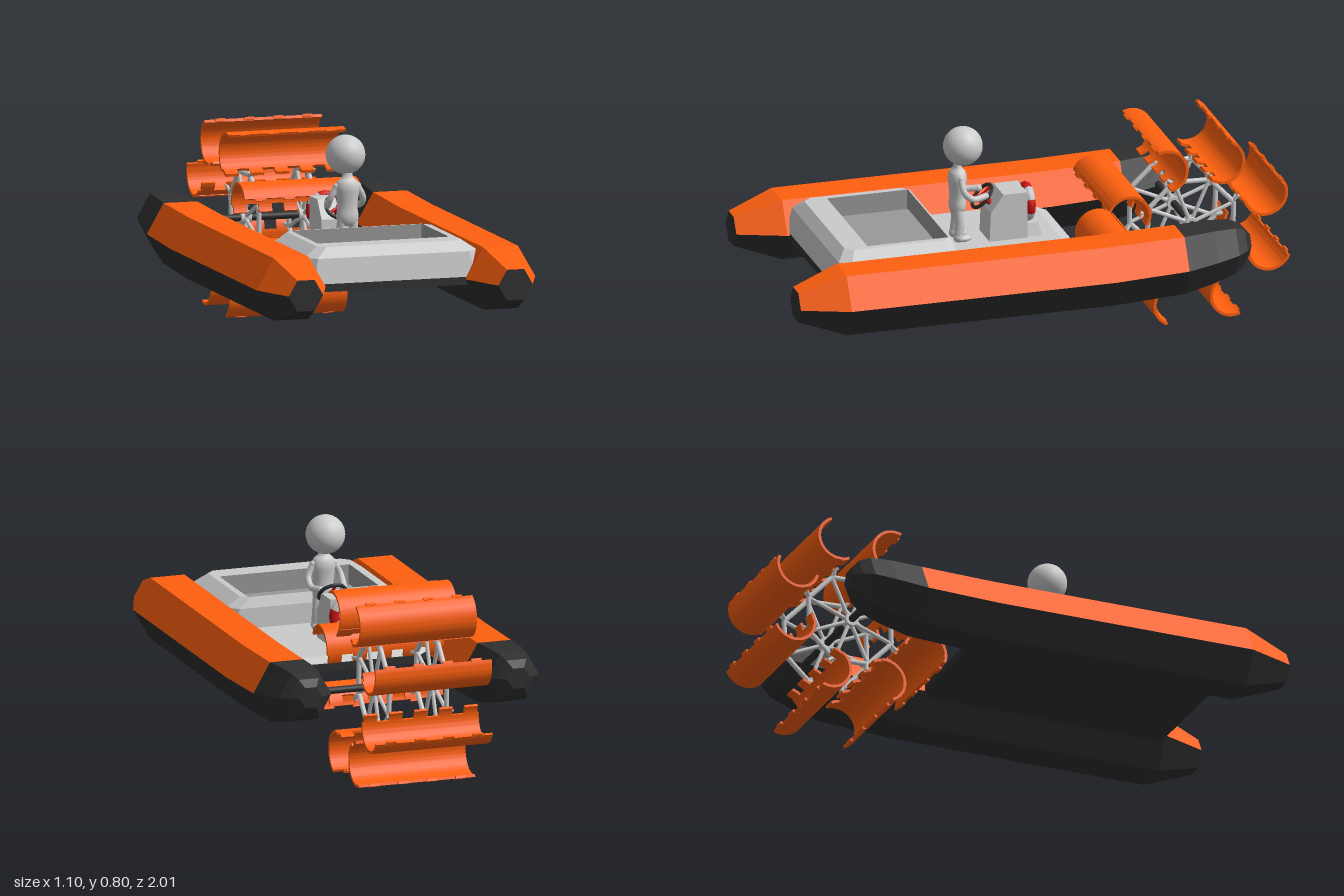
import * as THREE from 'three';
import { toCreasedNormals } from 'three/addons/utils/BufferGeometryUtils.js';

const mat = (color, flat = false) => new THREE.MeshStandardMaterial({ color, flatShading: flat, side: THREE.DoubleSide });
const grey = mat(0xcccccc), greyFlat = mat(0xcccccc, true), trayGrey = mat(0x999999, true);
const orange = mat(0xff600f), orangeFlat = mat(0xff600f, true);
const dark = mat(0x303030), darkFlat = mat(0x303030, true), red = mat(0xd01515);
const V = (x, y, z) => new THREE.Vector3(x, y, z);

function add(parent, name, geometry, material, x = 0, y = 0, z = 0) {
  const mesh = new THREE.Mesh(geometry, material);
  mesh.name = name;
  mesh.position.set(x, y, z);
  parent.add(mesh);
  return mesh;
}

// Skin over rings of points; only the given sides, with optional caps
function loft(rings, { start = false, end = false, from = 0, to = rings[0].length } = {}) {
  const p = [], n = rings[0].length;
  const tri = (...v) => v.forEach(q => p.push(q.x, q.y, q.z));
  for (let r = 0; r < rings.length - 1; r++) {
    const a = rings[r], b = rings[r + 1];
    for (let i = from; i < to; i++) {
      const j = (i + 1) % n;
      tri(a[i], a[j], b[j]);
      tri(a[i], b[j], b[i]);
    }
  }
  for (let i = 1; i < n - 1; i++) {
    const a = rings[0], b = rings[rings.length - 1];
    if (start) tri(a[0], a[i + 1], a[i]);
    if (end) tri(b[0], b[i], b[i + 1]);
  }
  const g = new THREE.BufferGeometry();
  g.setAttribute('position', new THREE.Float32BufferAttribute(p, 3));
  g.computeVertexNormals();
  return g;
}

// Horizontal rectangle with cut corners
const plan = (y, x, z0, z1, c) => [[x, z1 - c], [x, z0 + c], [x - c, z0], [c - x, z0],
  [-x, z0 + c], [-x, z1 - c], [c - x, z1], [x - c, z1]].map(q => V(q[0], y, q[1]));

// Side profile (z, y) extruded across x, centred
function extrudeX(shape, width, curveSegments = 18) {
  const g = new THREE.ExtrudeGeometry(shape, { depth: width, bevelEnabled: false, curveSegments });
  g.translate(0, 0, -width / 2).rotateY(-Math.PI / 2);
  return toCreasedNormals(g, 0.6);
}

function rod(parent, name, a, b, radius, material) {
  const m = add(parent, name, new THREE.CylinderGeometry(radius, radius, a.distanceTo(b), 8), material);
  m.position.copy(a).add(b).multiplyScalar(0.5);
  m.quaternion.setFromUnitVectors(V(0, 1, 0), b.clone().sub(a).normalize());
}

function pontoon(side) {
  const g = new THREE.Group();
  g.name = side > 0 ? 'leftPontoon' : 'rightPontoon';
  // z, centre height, radius from stern to bow
  const rings = [[-0.78, 0.378, 0.045], [-0.755, 0.375, 0.08], [-0.715, 0.368, 0.105], [-0.63, 0.355, 0.121],
    [-0.51, 0.338, 0.133], [-0.22, 0.327, 0.137], [0.82, 0.327, 0.137], [1, 0.327, 0.068]]
    .map(([z, y, r]) => Array.from({ length: 6 }, (_, i) =>
      V(r * Math.cos(i * Math.PI / 3), y + r * Math.sin(i * Math.PI / 3), z)));
  add(g, 'sternCap', loft(rings.slice(0, 5), { start: true }), darkFlat);
  add(g, 'upperTube', loft(rings.slice(4), { to: 3 }), orangeFlat);
  add(g, 'lowerTube', loft(rings.slice(4), { from: 3, end: true }), darkFlat);
  g.position.x = side * 0.415;
  return g;
}

function hull() {
  const g = new THREE.Group();
  g.name = 'hull';
  add(g, 'bowBottom', loft([plan(0.305, 0.34, 0.33, 0.81, 0.02), plan(0.335, 0.34, 0.33, 0.81, 0.02)], { start: true }), darkFlat);
  add(g, 'sternBottom', loft([plan(0.305, 0.285, -0.185, 0.34, 0.05), plan(0.335, 0.285, -0.185, 0.34, 0.05)], { start: true }), darkFlat);
  add(g, 'cockpitFloor', loft([plan(0.335, 0.285, -0.185, 0.34, 0.05), plan(0.352, 0.27, -0.14, 0.34, 0.03)], { end: true }), greyFlat);
  const rim = plan(0.468, 0.26, 0.352, 0.67, 0.004);
  add(g, 'bowDeck', loft([plan(0.335, 0.34, 0.33, 0.81, 0.02), plan(0.43, 0.34, 0.332, 0.795, 0.04),
    plan(0.468, 0.285, 0.345, 0.76, 0.03), rim]), greyFlat);
  add(g, 'bowTray', loft([rim, plan(0.39, 0.26, 0.352, 0.67, 0.004)], { end: true }), trayGrey);
  return g;
}

function console_() {
  const g = new THREE.Group();
  g.name = 'console';
  const side = new THREE.Shape([[-0.02, 0.345], [0.13, 0.345], [0.125, 0.465], [0.075, 0.535], [-0.02, 0.535]]
    .map(q => new THREE.Vector2(...q)));
  add(g, 'consoleBox', extrudeX(side, 0.13), greyFlat);
  add(g, 'consoleStep', loft([plan(0.35, 0.055, -0.1, 0, 0.02), plan(0.4, 0.04, -0.08, 0, 0.01)], { end: true }), greyFlat);
  // Lifebuoy with alternating coloured segments
  for (let i = 0; i < 8; i++) {
    const arc = add(g, 'lifebuoySegment', new THREE.TorusGeometry(0.056, 0.02, 8, 2, Math.PI / 4), i % 2 ? grey : red, 0, 0.475, -0.035);
    arc.rotation.z = (i - 0.5) * Math.PI / 4;
  }
  // Tilted steering wheel
  const wheel = new THREE.Group();
  wheel.name = 'steeringWheel';
  add(wheel, 'wheelRim', new THREE.TorusGeometry(0.052, 0.007, 8, 24), dark);
  for (let i = 0; i < 3; i++) {
    const a = i * Math.PI * 2 / 3 + Math.PI / 2;
    rod(wheel, 'wheelSpoke', V(0, 0, 0), V(0.052 * Math.cos(a), 0.052 * Math.sin(a), 0), 0.006, red);
  }
  rod(wheel, 'wheelColumn', V(0, 0, 0.005), V(0, 0, -0.05), 0.012, red);
  wheel.position.set(0, 0.515, 0.14);
  wheel.rotation.x = -0.73;
  g.add(wheel);
  return g;
}

function pilot() {
  const g = new THREE.Group();
  g.name = 'pilot';
  add(g, 'head', new THREE.SphereGeometry(0.075, 32, 20), grey, 0, 0.725, 0.215);
  const torso = [[0, 0.455], [0.03, 0.462], [0.043, 0.49], [0.039, 0.53], [0.044, 0.575], [0.047, 0.6],
    [0.04, 0.625], [0.022, 0.643], [0.018, 0.67]].map(q => new THREE.Vector2(...q));
  const curve = new THREE.SplineCurve(torso).getPoints(24).map(q => new THREE.Vector2(Math.max(q.x, 0), q.y));
  const body = add(g, 'torso', new THREE.LatheGeometry(curve, 24), grey, 0, 0, 0.237);
  body.scale.z = 0.75;
  const limb = (name, points, r) => {
    add(g, name, new THREE.TubeGeometry(new THREE.CatmullRomCurve3(points), 14, r, 12), grey);
    [points[0], points[points.length - 1]].forEach(p => add(g, name + 'End', new THREE.SphereGeometry(r * 1.1, 14, 10), grey, p.x, p.y, p.z));
  };
  for (const s of [-1, 1]) {
    limb('arm', [V(s * 0.042, 0.607, 0.235), V(s * 0.065, 0.56, 0.228), V(s * 0.064, 0.53, 0.195), V(s * 0.046, 0.53, 0.14)], 0.0125);
    limb('leg', [V(s * 0.021, 0.485, 0.24), V(s * 0.026, 0.425, 0.235), V(s * 0.028, 0.37, 0.24)], 0.019);
    add(g, 'foot', new THREE.SphereGeometry(0.022, 16, 12), grey, s * 0.03, 0.364, 0.225).scale.set(0.9, 0.6, 1.6);
  }
  return g;
}

function paddleWheel() {
  const g = new THREE.Group();
  g.name = 'paddleWheel';
  const R = 0.182, first = 69 * Math.PI / 180, width = 0.465;
  // Curved strip of a blade between two angles
  const strip = (a0, a1, w, r = 0.088, t = 0.011) => {
    const s = new THREE.Shape();
    s.absarc(0.29, -0.028, r, a0, a1, false);
    s.absarc(0.29, -0.028, r - t, a1, a0, true);
    return extrudeX(s, w);
  };
  const bladeGeo = strip(0, 2.85, width), toothGeo = strip(2.85, 3.25, 0.052);
  const lipGeo = strip(2.45, 2.52, width, 0.091, 0.005), nubGeo = strip(-0.1, 0.06, 0.04, 0.09);
  for (let k = 0; k < 8; k++) {
    const blade = new THREE.Group();
    blade.name = 'blade';
    add(blade, 'scoop', bladeGeo, orange);
    add(blade, 'scoopLip', lipGeo, orange);
    for (let i = 0; i < 5; i++) add(blade, 'tooth', toothGeo, orange, (i - 2) * 0.1);
    for (let i = 0; i < 4; i++) add(blade, 'nub', nubGeo, orange, (i - 1.5) * 0.115);
    blade.rotation.x = -(first + k * Math.PI / 4);
    g.add(blade);
  }
  // Two spoked octagonal frames with forked blade mounts
  const at = (x, r, a) => V(x, r * Math.sin(a), r * Math.cos(a));
  for (const s of [-1, 1]) {
    const x = s * 0.115;
    const hub = add(g, 'hub', new THREE.CylinderGeometry(0.026, 0.026, 0.04, 16), grey, x, 0, 0);
    hub.rotation.z = Math.PI / 2;
    for (let k = 0; k < 8; k++) {
      const a = first + k * Math.PI / 4;
      rod(g, 'frameRim', at(x, R, a), at(x, R, a + Math.PI / 4), 0.01, grey);
      rod(g, 'frameSpoke', at(x, 0.01, a), at(x, R, a), 0.008, grey);
      for (const d of [-0.012, 0.012]) rod(g, 'bladeMount', at(x, R - 0.01, a), at(x + d, R + 0.028, a - 0.11), 0.007, grey);
    }
  }
  const shaft = add(g, 'shaft', new THREE.CylinderGeometry(0.014, 0.014, 0.72, 12), dark);
  shaft.rotation.z = Math.PI / 2;
  g.position.set(0, 0.36, -0.645);
  return g;
}

export function createModel() {
  const model = new THREE.Group();
  model.name = 'paddleBoat';
  model.add(pontoon(1), pontoon(-1), hull(), console_(), pilot(), paddleWheel());
  return model;
}
